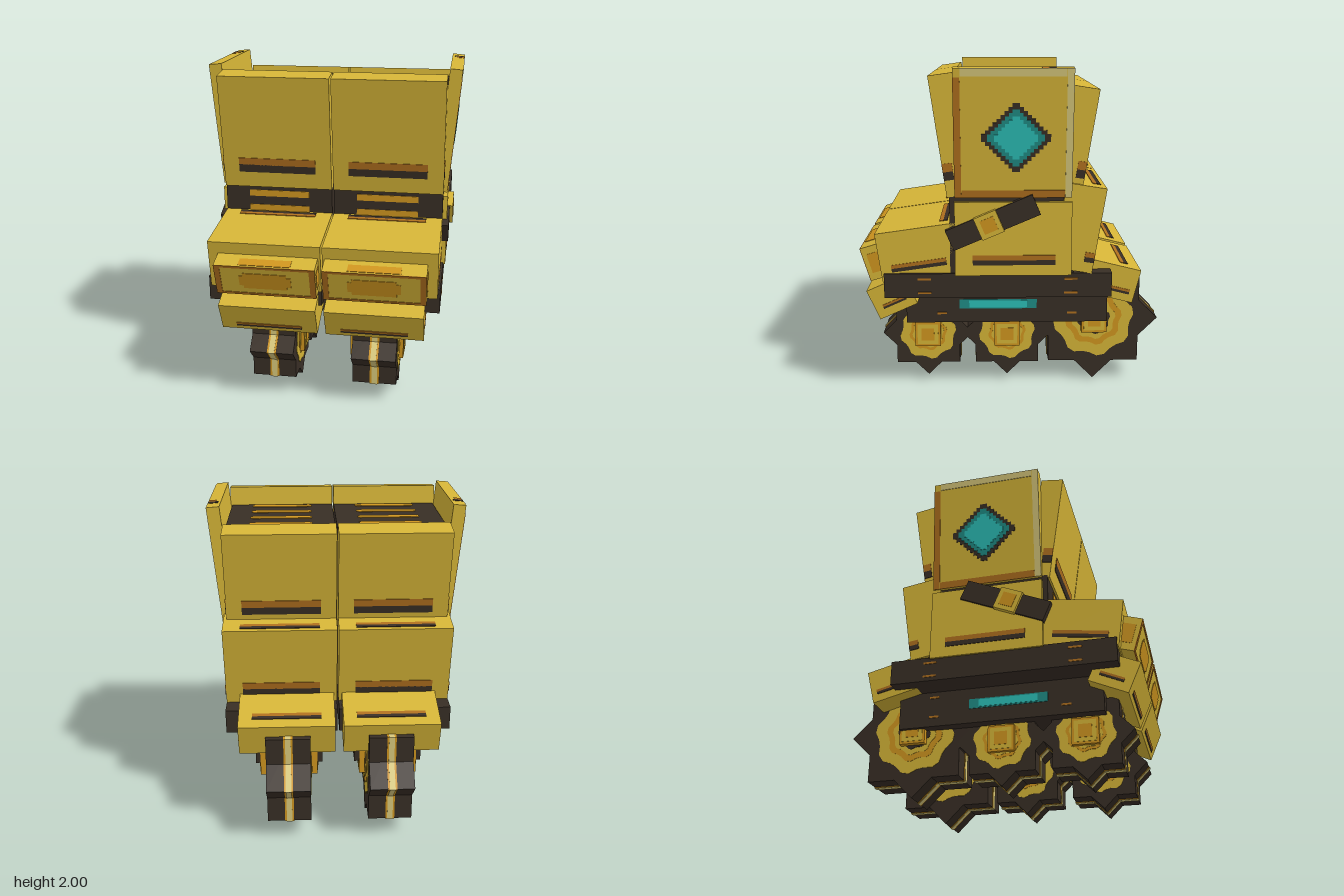
import * as THREE from 'three';

const paint = (name, color) => {
  const m = new THREE.MeshStandardMaterial({ color });
  m.name = name;
  return m;
};
const yellow = paint('yellow', 0xd6b537), dark = paint('dark', 0x382e25), gold = paint('gold', 0xd0961f),
  bronze = paint('bronze', 0xb0701e), cream = paint('cream', 0xd8c97c), cyan = paint('cyan', 0x2cc0b8),
  teal = paint('teal', 0x1f8d86);
const T = 0.006; // thickness of painted plates
const rad = THREE.MathUtils.degToRad;

function add(parent, name, geo, mat, x, y, z) {
  const m = new THREE.Mesh(geo, mat);
  m.name = name;
  m.position.set(x, y, z);
  parent.add(m);
  return m;
}
const box = (parent, name, mat, w, h, d, x = 0, y = 0, z = 0) =>
  add(parent, name, new THREE.BoxGeometry(w, h, d), mat, x, y, z);

// Box tilted about x, placed by its outer top corner; dir is +1 at the front, -1 at the rear
function tilted(parent, name, s, x0, x1, cy, cz, h, d, deg, dir) {
  const a = rad(deg), g = new THREE.Group();
  const ly = h / 2, lz = dir * d / 2;
  g.name = name;
  g.position.set(s * (x0 + x1) / 2, cy - (ly * Math.cos(a) - lz * Math.sin(a)), cz - (ly * Math.sin(a) + lz * Math.cos(a)));
  g.rotation.x = a;
  box(g, name + 'Shell', yellow, x1 - x0, h, d);
  parent.add(g);
  return g;
}

// Vent slot on a front or rear face: gold lip over a dark opening
function slotZ(g, w, y, z, x = 0) {
  box(g, 'slotLip', bronze, w, 0.045, T, x, y + 0.045, z);
  box(g, 'slotOpening', dark, w, 0.05, T, x, y, z);
}
// Vent slot on a side face
function slotX(g, x, y, z, len, h = 0.03) {
  box(g, 'sideSlotLip', bronze, T, h, len, x, y + h, z);
  box(g, 'sideSlotOpening', dark, T, h, len, x, y, z);
}
// Vent slot on a top face
function slotY(g, w, y, z) {
  box(g, 'topSlotOpening', dark, w, T, 0.025, 0, y, z);
  box(g, 'topSlotLip', bronze, w, T, 0.025, 0, y, z + 0.025);
}

// Diamond with stair-stepped edges
function steppedDiamond(r, n) {
  const u = r / n, q = [];
  for (let i = 0; i < n; i++) q.push([(n - i) * u, i * u], [(n - i) * u, (i + 1) * u]);
  const pts = [];
  for (let k = 0; k < 4; k++) {
    const c = Math.round(Math.cos(k * Math.PI / 2)), s = Math.round(Math.sin(k * Math.PI / 2));
    for (const [x, y] of q) pts.push(new THREE.Vector2(x * c - y * s, x * s + y * c));
  }
  return new THREE.ExtrudeGeometry(new THREE.Shape(pts), { depth: 0.003, bevelEnabled: false });
}

// Scalloped disc whose axis lies along x
function scallop(r, width) {
  const pts = [];
  for (let i = 0; i < 32; i++) {
    const a = (i + 0.5) / 32 * Math.PI * 2, k = r * (i % 4 < 2 ? 1 : 0.91);
    pts.push(new THREE.Vector2(k * Math.cos(a), k * Math.sin(a)));
  }
  const g = new THREE.ExtrudeGeometry(new THREE.Shape(pts), { depth: width, bevelEnabled: false });
  return g.translate(0, 0, -width / 2).rotateY(Math.PI / 2);
}

// Eight-pointed wheel made of two crossed squares
function wheel(parent, s, y, z, half, rings, hubWidth) {
  const g = new THREE.Group();
  g.name = 'wheel';
  g.position.set(s * 0.312, y, z);
  for (const a of [0, Math.PI / 4]) {
    box(g, 'tread', dark, 0.27, half * 2, half * 2).rotation.x = a;
    box(g, 'treadStripeEdge', gold, 0.056, half * 2 + 0.006, half * 2 + 0.006).rotation.x = a;
    box(g, 'treadStripe', cream, 0.034, half * 2 + 0.01, half * 2 + 0.01).rotation.x = a;
  }
  rings.forEach(([r, mat], i) => add(g, 'wheelRing', scallop(r, 0.276 + i * 0.005), mat, 0, 0, 0));
  box(g, 'hub', gold, hubWidth, 0.16, 0.16);
  box(g, 'hubFace', yellow, hubWidth + 0.006, 0.13, 0.13);
  box(g, 'hubCentre', gold, hubWidth + 0.012, 0.08, 0.08);
  parent.add(g);
}

function buildHalf(s) {
  const g = new THREE.Group();
  g.name = s > 0 ? 'leftHalf' : 'rightHalf';

  // Chassis beams with the glowing side strip
  box(g, 'chassisBeam', dark, 0.69, 0.15, 1.36, s * 0.35, 0.71, 0.09);
  box(g, 'lowerBeam', dark, 0.42, 0.23, 1.25, s * 0.31, 0.53, 0.035);
  box(g, 'lightStripEdge', teal, T, 0.06, 0.48, s * 0.521, 0.535, 0.09);
  box(g, 'lightStrip', cyan, T, 0.045, 0.36, s * 0.524, 0.535, 0.09);
  for (const z of [0.53, -0.345])
    for (const y of [0.665, 0.75]) box(g, 'beamMark', bronze, T, 0.012, 0.08, s * 0.695, y, z);
  for (const [y, z] of [[0.6, -0.37], [0.475, 0.44], [0.475, -0.37]])
    box(g, 'lowerBeamMark', bronze, T, 0.012, 0.06, s * 0.521, y, z);

  // Dark core, roof and gold vents
  box(g, 'core', dark, 0.675, 0.48, 0.735, s * 0.3425, 1.02, 0.0075);
  box(g, 'roof', dark, 0.665, 0.62, 0.69, s * 0.3375, 1.54, 0);
  for (const y of [1.2, 1.105]) box(g, 'coreVent', gold, 0.38, 0.04, T, s * 0.34, y, 0.376);
  for (const z of [-0.175, -0.02, 0.133, 0.287]) {
    box(g, 'roofVent', gold, 0.385, T, 0.04, s * 0.337, 1.851, z);
    box(g, 'roofVentMiddle', gold, 0.36, T, 0.054, s * 0.337, 1.851, z);
  }

  // Body side
  box(g, 'bodySide', yellow, 0.2, 0.445, 0.69, s * 0.607, 0.9975, 0);
  slotX(g, s * 0.708, 0.855, -0.005, 0.49);

  // Front and rear upper panels
  const front = tilted(g, 'frontUpperPanel', s, 0.005, 0.68, 1.947, 0.487, 0.71, 0.14, 8, 1);
  slotZ(front, 0.48, -0.23, 0.071);
  const back = tilted(g, 'rearUpperPanel', s, 0.005, 0.675, 1.87, -0.498, 0.64, 0.155, -9, -1);
  slotZ(back, 0.48, -0.18, -0.0785);
  slotX(front, s * 0.3385, -0.23, 0.04, 0.06, 0.05);
  slotX(back, s * 0.336, -0.18, -0.05, 0.05, 0.05);

  // Rear middle panel and fender
  const mid = tilted(g, 'rearMiddlePanel', s, 0.005, 0.695, 1.295, -0.55, 0.52, 0.24, -9, -1);
  slotZ(mid, 0.48, -0.18, -0.121);
  slotY(mid, 0.48, 0.261, -0.08);
  slotX(mid, s * 0.346, -0.18, -0.09, 0.06);
  const fender = tilted(g, 'rearFender', s, 0.025, 0.61, 0.77, -0.78, 0.21, 0.35, -14, -1);
  slotY(fender, 0.42, 0.106, -0.09);
  slotX(fender, s * 0.2935, -0.05, -0.06, 0.16, 0.015);

  // Hood
  const hood = tilted(g, 'hood', s, 0.005, 0.68, 1.025, 0.82, 0.3, 0.5, 8, 1);
  slotY(hood, 0.48, 0.151, -0.17);
  slotX(hood, s * 0.3385, -0.085, 0.02, 0.33, 0.022);

  // Nose block with a framed front
  const nose = tilted(g, 'nose', s, 0.02, 0.62, 0.92, 0.917, 0.21, 0.25, 17, 1);
  for (const e of [-1, 1]) {
    box(nose, 'noseFrameSide', bronze, 0.035, 0.21, T, e * 0.2825, 0, 0.1255);
    box(nose, 'noseFrameRail', bronze, 0.6, 0.015, T, 0, e * 0.0975, 0.1255);
    box(nose, 'noseSidePatch', gold, T, 0.12, 0.1, e * 0.3, 0, 0.05);
  }
  box(nose, 'noseBadge', gold, 0.31, 0.07, T, 0, 0, 0.1255);
  box(nose, 'noseBadgeMiddle', gold, 0.26, 0.11, T, 0, 0, 0.1255);
  box(nose, 'noseTopPatch', gold, 0.31, T, 0.06, 0, 0.105, 0.085);

  // Front bumper
  const bumper = tilted(g, 'frontBumper', s, 0.025, 0.61, 0.65, 0.89, 0.197, 0.25, 24, 1);
  box(bumper, 'bumperSlotLip', bronze, 0.4, 0.014, T, 0, -0.05, 0.1255);
  box(bumper, 'bumperSlot', dark, 0.4, 0.014, T, 0, -0.064, 0.1255);
  slotX(bumper, s * 0.2935, -0.04, 0.0, 0.15, 0.013);

  // Outward-leaning side shield with a diamond window
  const shield = new THREE.Group();
  shield.name = 'sideShield';
  shield.position.set(s * 0.695, 1.623, 0);
  shield.rotation.z = -s * rad(5);
  box(shield, 'shieldPlate', yellow, 0.075, 0.75, 0.685);
  const ox = s * 0.038;
  box(shield, 'shieldFrontTrim', cream, T, 0.75, 0.04, ox, 0, s < 0 ? 0.3225 : -0.3225);
  box(shield, 'shieldTopTrim', cream, T, 0.045, 0.6, ox, 0.3525, 0);
  box(shield, 'shieldRearTrim', bronze, T, 0.7, 0.04, ox, -0.025, s < 0 ? -0.3225 : 0.3225);
  box(shield, 'shieldBottomTrim', bronze, T, 0.045, 0.6, ox, -0.3525, 0);
  [[0.2, 9, dark], [0.165, 8, teal], [0.125, 6, cyan]].forEach(([r, n, mat], i) => {
    add(shield, 'diamondWindow', steppedDiamond(r, n), mat, s * (0.0376 + i * 0.003), -0.02, -0.015).rotation.y = s * Math.PI / 2;
  });
  box(shield, 'shieldTopNotch', dark, 0.06, T, 0.04, s * 0.008, 0.374, -0.22);
  box(shield, 'shieldTopNotchLip', bronze, 0.045, T, 0.04, s * 0.015, 0.374, -0.18);
  g.add(shield);

  // Slanted side strut with a gold block
  const strut = new THREE.Group();
  strut.name = 'sideStrut';
  strut.position.set(s * 0.695, 1.1, 0.12);
  strut.rotation.x = rad(23);
  box(strut, 'strutBar', dark, 0.05, 0.13, 0.555);
  box(strut, 'strutBlock', yellow, 0.09, 0.14, 0.14, 0, 0, 0.025);
  box(strut, 'strutBlockCentre', gold, 0.096, 0.085, 0.085, 0, 0, 0.025);
  g.add(strut);

  // Wheels
  const small = [[0.178, yellow], [0.12, gold], [0.1, yellow]];
  for (const z of [0.535, 0.035]) wheel(g, s, 0.32, z, 0.2, small, 0.33);
  wheel(g, s, 0.41, -0.515, 0.286, [[0.255, yellow], [0.18, gold], [0.14, yellow], [0.105, dark]], 0.36);
  return g;
}

export function createModel() {
  const model = new THREE.Group();
  model.name = 'armoredTransport';
  for (const s of [-1, 1]) model.add(buildHalf(s));
  return model;
}
